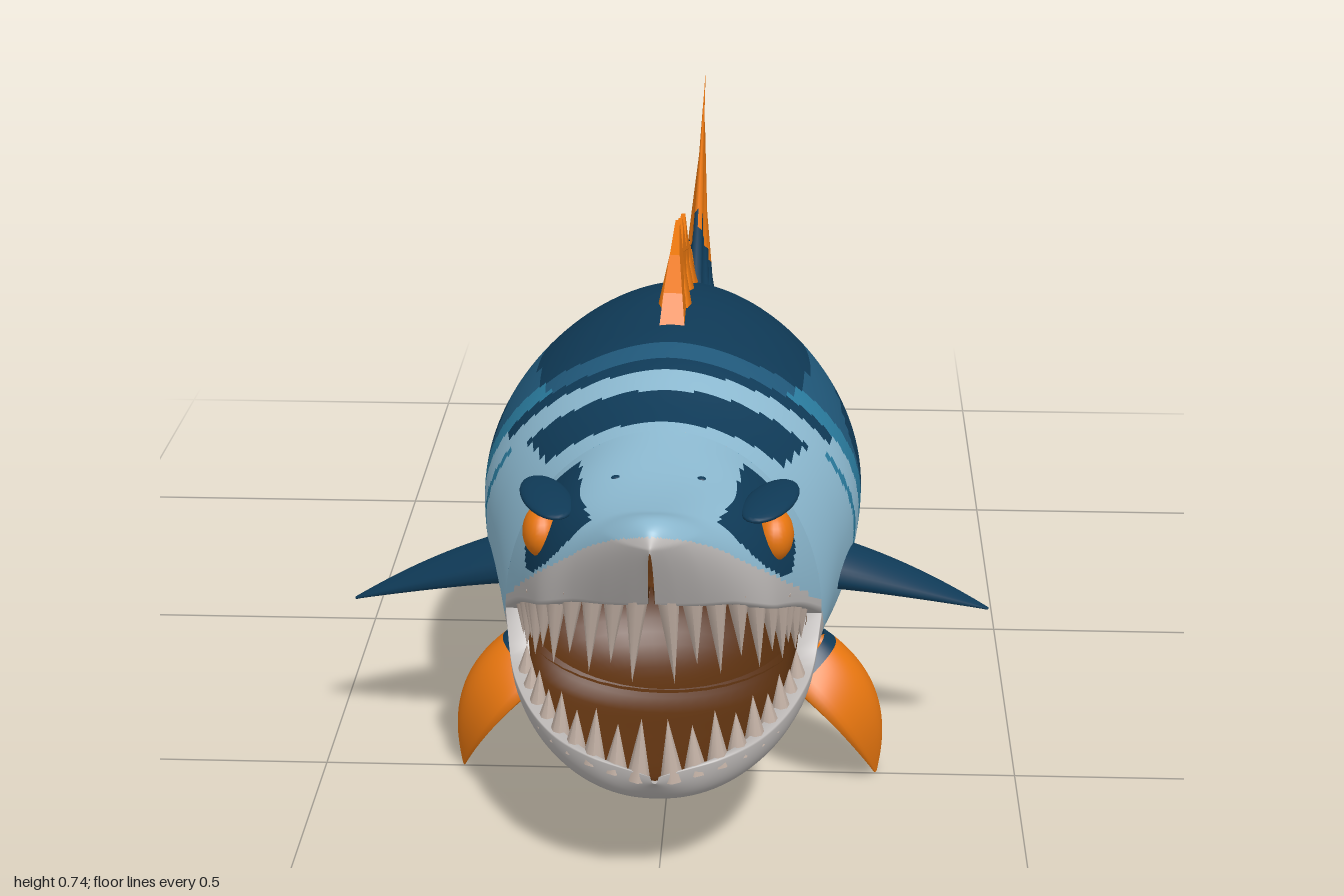
import * as THREE from 'three';

const mat = (name, color) => Object.assign(
  new THREE.MeshStandardMaterial({ color, side: THREE.DoubleSide }), { name });
const M = {
  navy: mat('navy', 0x0f3a57), mid: mat('midBlue', 0x20587a), teal: mat('teal', 0x2a7c9f),
  light: mat('paleBlue', 0x8bb8cf), white: mat('bellyGrey', 0xb9b5b3), orange: mat('orange', 0xe8760f),
  brown: mat('mouthBrown', 0x5a300f), tooth: mat('tooth', 0xc4b2a6),
};
const KEYS = Object.keys(M);
const V = (a) => new THREE.Vector3(...a);

// Smooth interpolation through [position, value] pairs in ascending order
function track(pts) {
  const slope = (i) => {
    const a = pts[Math.max(i - 1, 0)], b = pts[Math.min(i + 1, pts.length - 1)];
    return (b[1] - a[1]) / (b[0] - a[0]);
  };
  return (z) => {
    let i = 0;
    while (i < pts.length - 2 && z > pts[i + 1][0]) i++;
    const [z0, a] = pts[i], [z1, b] = pts[i + 1], h = z1 - z0;
    const t = THREE.MathUtils.clamp((z - z0) / h, 0, 1), s = t * t * (3 - 2 * t);
    return a + (b - a) * s + h * t * (1 - t) * ((1 - t) * (slope(i) - (b - a) / h) - t * (slope(i + 1) - (b - a) / h))
      + (t - s) * (b - a);
  };
}

// Closed rings joined along u; each quad goes into the group of its paint colour
function loft(name, nu, nv, point, paint) {
  const pos = [], faces = KEYS.map(() => []), P = [];
  for (let i = 0; i <= nu; i++) for (let j = 0; j < nv; j++) {
    const p = point(i / nu, j, nv);
    P.push(p);
    pos.push(p.x, p.y, p.z);
  }
  for (let i = 0; i < nu; i++) for (let j = 0; j < nv; j++) {
    const a = i * nv + j, b = i * nv + (j + 1) % nv, c = a + nv, d = b + nv;
    const mid = P[a].clone().add(P[b]).add(P[c]).add(P[d]).multiplyScalar(0.25);
    faces[KEYS.indexOf(paint(mid, (i + 0.5) / nu, j))].push(a, c, b, b, c, d);
  }
  const geo = new THREE.BufferGeometry(), mats = [];
  geo.setAttribute('position', new THREE.Float32BufferAttribute(pos, 3));
  geo.setIndex(faces.flat());
  let start = 0;
  faces.forEach((f, k) => {
    if (!f.length) return;
    geo.addGroup(start, f.length, mats.length);
    mats.push(M[KEYS[k]]);
    start += f.length;
  });
  geo.computeVertexNormals();
  const mesh = new THREE.Mesh(geo, mats);
  mesh.name = name;
  return mesh;
}

// Profiles along z
const top = track([[-.66, .40], [-.5, .415], [-.4, .43], [-.2, .49], [0, .58], [.2, .635], [.4, .643], [.5, .63],
  [.6, .6], [.7, .58], [.8, .567], [.9, .572], [.96, .588], [.985, .58], [1, .555]]);
const bottom = track([[-.66, .32], [-.5, .285], [-.4, .26], [-.2, .19], [0, .10], [.15, .05], [.3, .03], [.45, .05],
  [.6, .09], [.7, .12], [.8, .132], [.87, .15], [.905, .19]]);
const width = track([[-.66, .012], [-.5, .04], [-.4, .065], [-.2, .125], [0, .205], [.15, .25], [.3, .272], [.45, .264],
  [.55, .24], [.66, .215], [.75, .188], [.85, .153], [.93, .105], [.97, .067], [.99, .032], [1, .004]]);
const middle = track([[-.66, .36], [-.4, .345], [0, .36], [.3, .38], [.5, .38], [.66, .325]]);
const roundness = track([[-.66, 1], [0, 1.1], [.3, 1.15], [.5, 1.1], [.66, 1]]);
const upperLip = track([[.66, .325], [.75, .375], [.85, .417], [.93, .443], [.97, .452], [.99, .46], [1, .468]]);
const lowerLip = track([[.66, .325], [.69, .275], [.75, .25], [.83, .228], [.88, .215], [.905, .2]]);
const lowerWidth = track([[.66, .215], [.75, .19], [.83, .145], [.88, .085], [.905, .005]]);
const boxy = track([[.66, 1], [.8, .62], [.9, .75], [1, 1]]);
const jawRound = track([[.66, 1], [.8, .9], [.905, .9]]);
const bellyLine = track([[-.5, .29], [-.3, .25], [-.1, .205], [.3, .19], [.5, .2], [.6, .26], [.66, .33]]);
const backLine = track([[-.55, .30], [-.45, .335], [-.3, .38], [-.15, .42], [0, .49], [.15, .54], [.45, .565]]);
const snoutLine = track([[.66, .34], [.75, .4], [.85, .465], [.93, .535], [1, .58]]);
// The snout recedes from its tip down to the lip
const recede = (z, y) => z - .5 * Math.max(0, .56 - y) * THREE.MathUtils.smoothstep(z, .84, 1);

const blob = (z, y, cz, cy, rz, ry) => Math.abs((z - cz) / rz) ** 3 + Math.abs((y - cy) / ry) ** 3 < 1;

function paintBody({ y, z }) {
  if (z > -.46 && y < bellyLine(z)) return 'white';
  // Bands round the neck and gills sweep backward down the side
  const s = z + .35 * Math.max(0, .61 - y);
  if (s > .565) return y > .52 && s < .645 ? 'navy' : 'light';
  if (s > .52) return y < .5 && s > .54 && s < .553 ? 'teal' : 'light';
  if (s > .495) return y > .5 ? 'navy' : 'light';
  if (s > .45) return y > .57 ? 'mid' : 'teal';
  if (z < -.54 || y > backLine(z)) return 'navy';
  if (blob(z, y, .225, .435, .15, .065) || blob(z, y, -.23, .335, .27, .042)) return 'navy';
  return y < (z > .02 ? .36 : .295) ? 'teal' : 'mid';
}

function paintHead({ y, z }) {
  if (y < snoutLine(z)) return 'white';
  const drop = (.552 - y) / .112;
  return drop > 0 && Math.abs((z - .785) / .105) ** 1.7 + drop ** 1.7 < 1 ? 'navy' : 'light';
}

// Jaw shell: an outer arc from lip to lip, then the mouth lining back again
function jaw(name, rows, front, half, lip, edge, power, depth, shift, paint) {
  const outer = 80;
  return loft(name, rows, 112, (u, j) => {
    const z = .66 + (front - .66) * (1 - (1 - u) ** 2), inner = j > outer;
    const t = Math.PI * (inner ? (111 - j) / 30 : j / outer);
    const c = Math.cos(t), w = half(z) * (inner ? .87 : 1);
    const y = lip(z) + (edge(z) - lip(z)) * (inner ? depth : 1) * Math.sin(t);
    return new THREE.Vector3(w * Math.sign(c) * Math.abs(c) ** power(z), y, shift(z, y));
  }, (p, u, j) => (j > outer && j < 111 ? 'brown' : paint(p)));
}

// Fin blade through three rows of points (root, middle, tip), thick at the root
function fin(name, rows, normal, thick, rays, paint) {
  const [a, b, c] = rows.map((r) => new THREE.CatmullRomCurve3(r.map(V)));
  const n = V(normal).normalize(), N = rays ? 48 : 24;
  return loft(name, 24, 2 * N, (u, j) => {
    const v = j <= N ? j / N : 2 - j / N, side = j <= N ? 1 : -1;
    const rib = Math.abs(Math.sin(Math.PI * v * rays));
    const s = rays ? u * (1 - .09 * u * rib) : u;
    const p = a.getPoint(v).multiplyScalar((1 - s) * (1 - 2 * s))
      .addScaledVector(b.getPoint(v), 4 * s * (1 - s)).addScaledVector(c.getPoint(v), s * (2 * s - 1));
    const th = thick * (1 - u * .93) * Math.abs(Math.sin(Math.PI * v)) ** .4 * (1 - .35 * rib);
    return p.addScaledVector(n, side * th);
  }, (p, u, j) => paint(u, j < N, j < N ? j / N : 2 - j / N));
}

function add(parent, name, geo, material, pos, scale = [1, 1, 1]) {
  const m = new THREE.Mesh(geo, material);
  m.name = name;
  m.position.set(...pos);
  m.scale.set(...scale);
  parent.add(m);
  return m;
}

// Row of cone teeth along one side of a lip
function teeth(parent, name, zs, half, lip, shift, count, dir, size) {
  const curve = new THREE.CatmullRomCurve3(zs.map((z) =>
    new THREE.Vector3(half(z) * .93, lip(z), shift(z, lip(z)) - .012)));
  for (let i = 0; i < count; i++) {
    const p = curve.getPointAt((i + .45) / count);
    const len = size * (1 - .45 * i / count) * (i % 2 ? .82 : 1);
    const cone = new THREE.ConeGeometry(.0155, len, 8).translate(0, len / 2 - .014, 0);
    const m = add(parent, name, cone, M.tooth, p.toArray());
    m.rotation.set(dir < 0 ? Math.PI + .1 : .08, 0, dir * .06);
  }
}

export function createModel() {
  const fish = new THREE.Group();
  fish.name = 'fish';

  // Body and jaws
  const straight = (z) => z;
  fish.add(loft('body', 240, 140, (u, j, nv) => {
    const z = .66 - 1.32 * u, t = 2 * Math.PI * j / nv, s = Math.sin(t), c = Math.cos(t), m = middle(z);
    return new THREE.Vector3(width(z) * Math.sign(c) * Math.abs(c) ** roundness(z),
      m + s * (s > 0 ? top(z) - m : m - bottom(z)), z);
  }, paintBody));
  fish.add(jaw('upperHead', 84, 1, width, upperLip, top, boxy, .35, recede, paintHead));
  fish.add(jaw('lowerJaw', 40, .905, lowerWidth, lowerLip, bottom, jawRound, .55, straight, () => 'white'));
  add(fish, 'throat', new THREE.SphereGeometry(1, 24, 20, Math.PI, Math.PI), M.brown, [0, .32, .67], [.195, .115, .12]);

  // Tail fin
  fish.add(fin('tailFin', [
    [[0, .415, -.5], [0, .39, -.55], [0, .36, -.56], [0, .32, -.55], [0, .285, -.5]],
    [[0, .55, -.725], [0, .45, -.71], [0, .355, -.67], [0, .26, -.68], [0, .16, -.69]],
    [[0, .67, -1], [0, .5, -.86], [0, .345, -.765], [0, .2, -.83], [0, .07, -.88]],
  ], [1, 0, 0], .034, 8, (u, s, v) => (u < .26 + .07 * Math.sin(v * 50) ? 'navy' : 'orange')));

  // Dorsal fin: a saw-toothed blade narrowing upward, with a spine at each peak
  const peaks = [[.2, .74], [.1, .713], [0, .69], [-.1, .615], [-.17, .58]];
  const valleys = [[.23, .7], [.135, .675], [.035, .645], [-.06, .59], [-.12, .555]];
  const shape = new THREE.Shape([[.4, .63], [.36, .68], [.3, .718],
    ...peaks.flatMap((p, i) => [p, valleys[i]]), [-.12, .51], [0, .56], [.2, .61]].map((p) => new THREE.Vector2(...p)));
  const blade = new THREE.ExtrudeGeometry(shape, { depth: 1, bevelEnabled: false });
  const bp = blade.attributes.position;
  for (let i = 0; i < bp.count; i++) {
    const z = bp.getX(i), y = bp.getY(i);
    const w = THREE.MathUtils.clamp(.019 - .16 * (y - top(z)), .003, .019);
    bp.setXYZ(i, (bp.getZ(i) * 2 - 1) * w, y, z);
  }
  blade.computeVertexNormals();
  add(fish, 'dorsalFin', blade, M.orange, [0, 0, 0]);
  peaks.forEach(([z, y]) => {
    const tip = new THREE.Vector3(0, y, z), zb = z + .1, base = new THREE.Vector3(0, top(zb) - .015, zb);
    const len = tip.distanceTo(base);
    const spine = add(fish, 'dorsalSpine', new THREE.ConeGeometry(.027, len, 8), M.orange,
      base.clone().lerp(tip, .5).toArray());
    spine.quaternion.setFromUnitVectors(new THREE.Vector3(0, 1, 0), tip.sub(base).normalize());
  });

  // Paired parts, built on the left and mirrored to the right
  for (const side of [1, -1]) {
    const half = new THREE.Group();
    half.name = side > 0 ? 'leftSide' : 'rightSide';
    half.scale.x = side;

    half.add(fin('pectoralFin', [
      [[.22, .32, .54], [.23, .325, .48], [.23, .31, .4]],
      [[.335, .283, .5], [.34, .288, .45], [.335, .275, .41]],
      [[.456, .238, .447], [.456, .236, .44], [.455, .233, .435]],
    ], [.45, 1, 0], .03, 0, () => 'navy'));
    half.add(fin('ventralFin', [
      [[.17, .17, .55], [.2, .2, .5], [.2, .2, .43]],
      [[.24, .105, .57], [.28, .122, .51], [.29, .115, .455]],
      [[.298, 0, .5], [.3, 0, .493], [.3, 0, .487]],
    ], [.8, .6, .3], .026, 0, (u) => (u < .1 ? 'navy' : 'orange')));
    half.add(fin('rearFin', [
      [[.15, .2, .03], [.155, .175, .01], [.13, .14, -.01]],
      [[.175, .178, -.045], [.175, .158, -.06], [.16, .13, -.075]],
      [[.165, .118, -.15], [.165, .115, -.15], [.165, .112, -.148]],
    ], [1, -.3, .3], .018, 0, (u, outer, v) => (!outer || (u < .38 && Math.abs(v - .5) < .25) ? 'orange' : 'navy')));

    // Eye, brow and nostril
    const ball = new THREE.SphereGeometry(1, 24, 16);
    add(half, 'eye', ball, M.orange, [.15, .498, .795], [.026, .035, .037]);
    add(half, 'brow', ball, M.navy, [.145, .54, .785], [.032, .01, .075]).rotation.y = -.3;
    add(half, 'nostril', ball, M.navy, [.055, .562, .775], [.008, .006, .008]);

    teeth(half, 'upperTooth', [.999, .985, .95, .9, .83, .76, .7], width, upperLip, recede, 10, -1, .135);
    teeth(half, 'lowerTooth', [.904, .895, .875, .83, .77, .71], lowerWidth, lowerLip, straight, 9, 1, .09);
    fish.add(half);
  }
  return fish;
}
